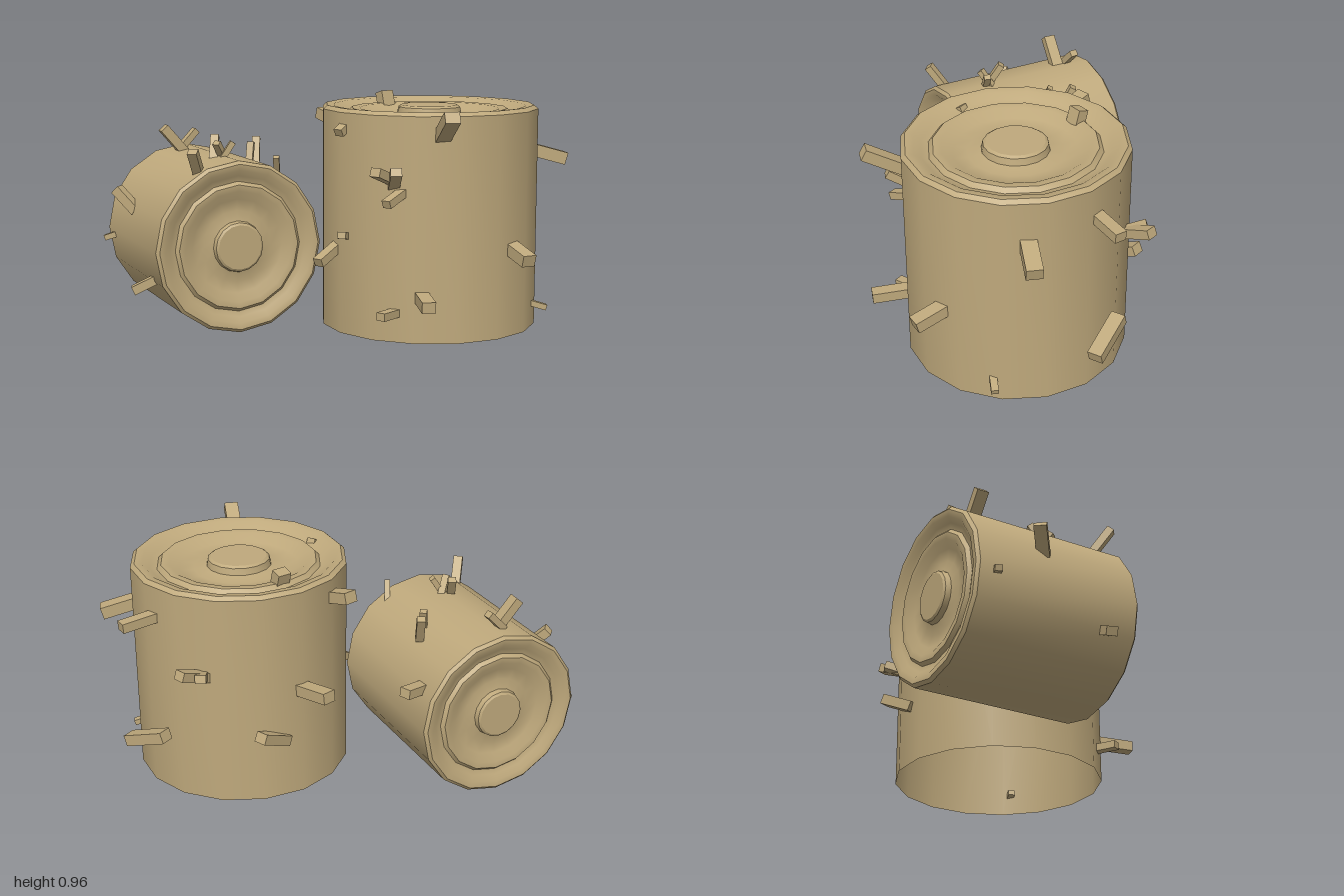
import * as THREE from 'three';
import { toCreasedNormals } from 'three/addons/utils/BufferGeometryUtils.js';

const material = new THREE.MeshStandardMaterial({ color: 0xbfa97c, side: THREE.DoubleSide });

const R = 0.455, H = 0.925, SIDES = 16;

// End cap cross-section: radius and depth below the rim, from outside to centre
const CAP = [
  [R, 0.015], [0.438, 0], [0.405, 0.004], [0.375, 0.026], [0.345, 0.034],
  [0.328, 0.016], [0.295, 0.018], [0.25, 0.045], [0.19, 0.052], [0.136, 0.04],
  [0.13, 0.012], [0.118, 0.004], [0, 0.004],
];

// Rolled bale standing on y = 0; the lower end is either capped or open
function makeBale(name, capped) {
  const top = CAP.map(([r, d]) => new THREE.Vector2(r, H - d));
  const bottom = capped
    ? CAP.map(([r, d]) => new THREE.Vector2(r, d)).reverse()
    : [new THREE.Vector2(R, 0)];
  const geometry = toCreasedNormals(new THREE.LatheGeometry([...bottom, ...top], SIDES), 0.55);
  const mesh = new THREE.Mesh(geometry, material);
  mesh.name = name;
  return mesh;
}

// Straw stub: a square stick from a base inside the bale to its tip
function makeStraw(name, [bx, by, bz, tx, ty, tz, width]) {
  const base = new THREE.Vector3(bx, by, bz);
  const tip = new THREE.Vector3(tx, ty, tz);
  const geometry = new THREE.BoxGeometry(width, width * 0.8, base.distanceTo(tip));
  const mesh = new THREE.Mesh(geometry, material);
  mesh.position.copy(base).add(tip).multiplyScalar(0.5);
  mesh.lookAt(tip);
  mesh.name = name;
  return mesh;
}

// Each entry: base x, y, z, tip x, y, z, width
const UPRIGHT_STRAWS = [
  // front
  [0.52, 0.82, 0.38, 0.58, 0.92, 0.55, 0.06],
  [0.44, 0.19, 0.38, 0.5, 0.18, 0.57, 0.055],
  [0.37, 0.12, 0.37, 0.3, 0.12, 0.5, 0.04],
  [0.35, 0.64, 0.38, 0.28, 0.7, 0.53, 0.045],
  [0.33, 0.62, 0.38, 0.36, 0.7, 0.51, 0.045],
  [0.39, 0.62, 0.38, 0.32, 0.57, 0.5, 0.04],
  [0.1, 0.37, 0.22, 0.02, 0.3, 0.35, 0.045],
  [0.13, 0.4, 0.27, 0.12, 0.42, 0.37, 0.035],
  [0.16, 0.9, 0.22, 0.1, 0.83, 0.33, 0.04],
  // left side
  [0.85, 0.73, -0.12, 0.99, 0.69, -0.16, 0.065],
  [0.78, 0.37, 0.2, 0.87, 0.33, 0.32, 0.06],
  [0.85, 0.1, 0.02, 0.93, 0.075, 0, 0.03],
];
const UPRIGHT_BACK_STRAWS = [
  [0.68, 0.78, -0.34, 0.82, 0.765, -0.46, 0.05],
  [0.66, 0.28, -0.46, 0.84, 0.21, -0.38, 0.06],
  [0.47, 0.56, -0.44, 0.56, 0.62, -0.57, 0.05],
  [0.5, 0.56, -0.42, 0.48, 0.6, -0.55, 0.045],
  [0.17, 0.26, -0.38, 0.25, 0.33, -0.51, 0.055],
  [0.11, 0.48, -0.34, -0.02, 0.5, -0.44, 0.06],
  [0.04, 0.82, -0.15, -0.08, 0.86, -0.25, 0.06],
  // top
  [0.22, 0.86, -0.23, 0.2, 0.955, -0.25, 0.06],
];
const LYING_STRAWS = [
  // upper side
  [-0.66, 0.69, -0.08, -0.74, 0.8, -0.03, 0.05],
  [-0.69, 0.7, -0.11, -0.63, 0.78, -0.16, 0.035],
  [-0.45, 0.68, 0.22, -0.46, 0.79, 0.15, 0.035],
  [-0.41, 0.68, 0.17, -0.43, 0.77, 0.24, 0.03],
  [-0.42, 0.69, 0.22, -0.37, 0.77, 0.2, 0.03],
  [-0.35, 0.63, -0.12, -0.36, 0.75, -0.18, 0.035],
  [-0.36, 0.66, -0.05, -0.36, 0.74, -0.08, 0.03],
  [-0.46, 0.64, 0.39, -0.465, 0.76, 0.48, 0.04],
  [-0.18, 0.6, 0.2, -0.17, 0.72, 0.27, 0.025],
];
const LYING_SIDE_STRAWS = [
  [-0.79, 0.47, 0.21, -0.88, 0.56, 0.2, 0.05],
  [-0.63, 0.23, 0.43, -0.73, 0.18, 0.46, 0.045],
  [-0.93, 0.34, 0.04, -0.99, 0.32, 0.05, 0.03],
  [-0.4, 0.5, -0.28, -0.32, 0.52, -0.4, 0.05],
];

export function createModel() {
  const model = new THREE.Group();
  model.name = 'hayBales';

  // Standing bale, open underneath
  const upright = makeBale('uprightBale', false);
  upright.position.set(0.425, 0, -0.022);
  model.add(upright);

  // Smaller bale lying on its side, turned towards the front left
  const lying = makeBale('lyingBale', true);
  const scale = 0.784, yaw = 0.594, half = (H * scale) / 2;
  lying.scale.setScalar(scale);
  lying.rotation.set(Math.PI / 2, yaw, 0, 'YXZ');
  lying.position.set(-0.5 - Math.sin(yaw) * half, R * scale, 0.075 - Math.cos(yaw) * half);
  model.add(lying);

  // Loose straw poking out of both bales
  for (const s of [...UPRIGHT_STRAWS, ...UPRIGHT_BACK_STRAWS]) model.add(makeStraw('uprightStraw', s));
  for (const s of [...LYING_STRAWS, ...LYING_SIDE_STRAWS]) model.add(makeStraw('lyingStraw', s));

  return model;
}
